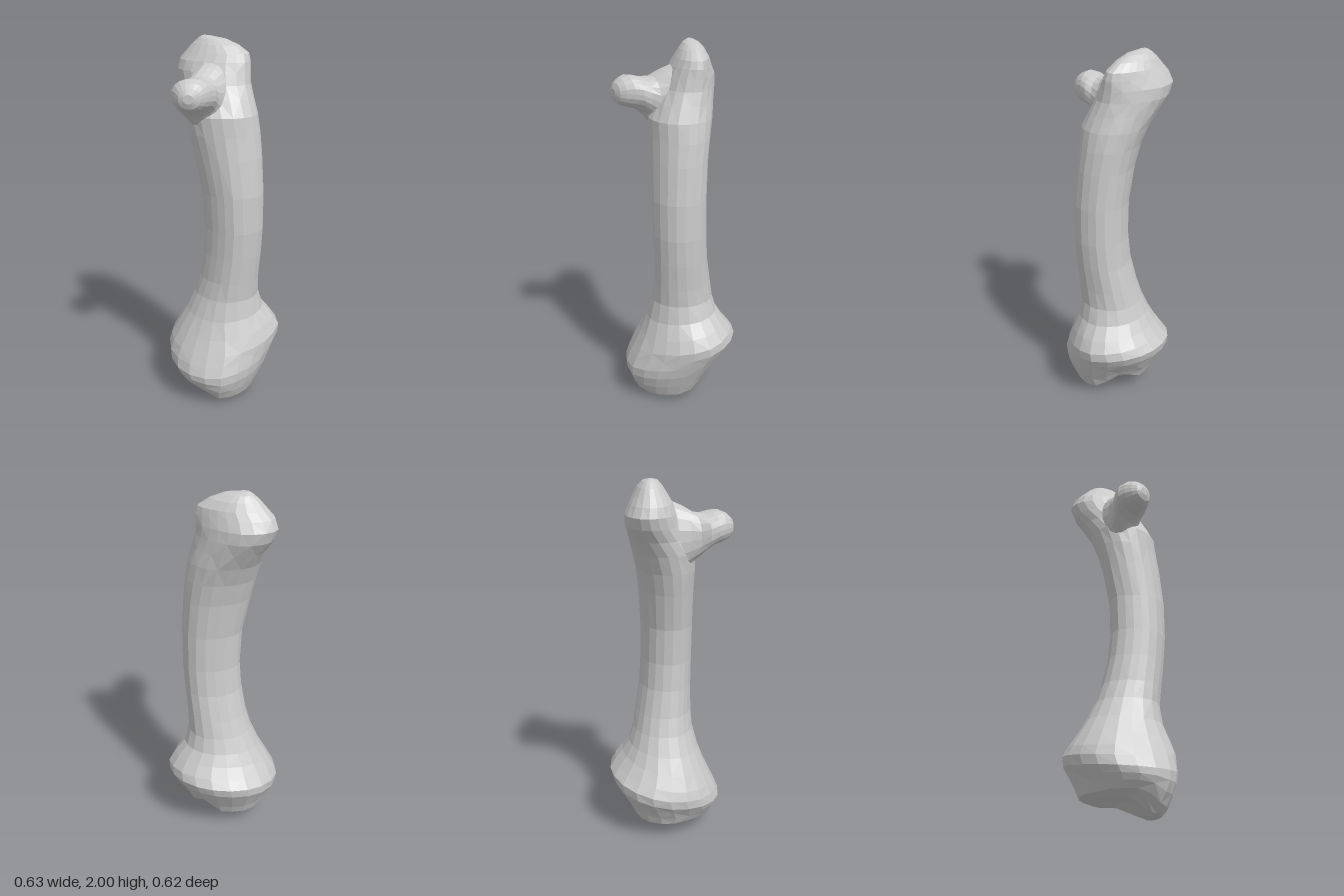
import * as THREE from 'three';

const SIDES = 20;
const material = new THREE.MeshStandardMaterial({ color: 0xcccccc, flatShading: true });
const { smoothstep, lerp } = THREE.MathUtils;

// Joins closed rings of points into a skin and closes both ends.
function loft(name, rings) {
  const pos = rings.flat().flatMap((p) => [p.x, p.y, p.z]);
  const index = [];
  const n = rings.length;
  for (let i = 0; i < n - 1; i++) {
    for (let j = 0; j < SIDES; j++) {
      const k = (j + 1) % SIDES;
      const a = i * SIDES + j, b = i * SIDES + k, c = a + SIDES, d = b + SIDES;
      if ((i + j) % 2) index.push(a, c, b, b, c, d);
      else index.push(a, d, b, a, c, d);
    }
  }
  for (const r of [0, n - 1]) {
    const mid = new THREE.Vector3();
    rings[r].forEach((p) => mid.addScaledVector(p, 1 / SIDES));
    const m = pos.length / 3;
    pos.push(mid.x, mid.y, mid.z);
    for (let j = 0; j < SIDES; j++) {
      const a = r * SIDES + j, b = r * SIDES + ((j + 1) % SIDES);
      if (r === 0) index.push(m, a, b);
      else index.push(m, b, a);
    }
  }
  const geo = new THREE.BufferGeometry();
  geo.setAttribute('position', new THREE.Float32BufferAttribute(pos, 3));
  geo.setIndex(index);
  geo.computeVertexNormals();
  const mesh = new THREE.Mesh(geo, material);
  mesh.name = name;
  return mesh;
}

// Oval between two limits on each axis, with each diagonal scaled on its own.
function oval(u0, u1, v0, v1, corners, place) {
  return Array.from({ length: SIDES }, (_, j) => {
    const t = (j / SIDES) * Math.PI * 2;
    const corner = corners[Math.floor((j * 4) / SIDES)];
    const s = lerp(1, corner, Math.abs(Math.sin(2 * t)));
    return place((u0 + u1) / 2 + ((u1 - u0) / 2) * s * Math.cos(t), (v0 + v1) / 2 + ((v1 - v0) / 2) * s * Math.sin(t));
  });
}

// Corner scales by height: y, front left, front right, back right, back left
const cornerKeys = [
  [0, 0.97, 1.03, 1.1, 1.0],
  [0.15, 0.92, 1.03, 1.06, 1.0],
  [0.3, 0.9, 1.01, 1.02, 1.0],
  [0.45, 0.96, 0.97, 1.02, 1.0],
  [0.7, 1.02, 0.88, 1.02, 1.07],
  [1.3, 1.02, 0.88, 1.02, 1.07],
  [1.6, 1.02, 1.0, 1.03, 1.02],
  [1.85, 1.03, 1.0, 1.04, 0.84],
  [2.01, 1.03, 1.0, 1.04, 0.9],
];

function cornersAt(y) {
  const i = cornerKeys.findIndex((k) => k[0] > y);
  const [lo, hi] = [cornerKeys[i - 1], cornerKeys[i]];
  const t = (y - lo[0]) / (hi[0] - lo[0]);
  return [1, 2, 3, 4].map((c) => lerp(lo[c], hi[c], t));
}

// Underside height: low lobe at front left, raised lobe at back right, groove at back left.
function floorHeight(x, z) {
  const back = 1 - smoothstep(z, -0.05, 0.08);
  const right = 1 - smoothstep(x, -0.14, -0.01);
  const fade = smoothstep(x - z, 0.0, 0.2);
  const groove = 0.07 * fade * Math.exp(-(((x + z) / 0.08) ** 2));
  return 0.07 * Math.max(back, right) + groove;
}

// Shaft with both swollen ends: y, x min, x max, z min, z max
const shaftRows = [
  [0.0, 0.0, 0.07, 0.1, 0.19],
  [0.004, -0.1, 0.11, -0.02, 0.21],
  [0.012, -0.19, 0.145, -0.14, 0.23],
  [0.04, -0.235, 0.175, -0.19, 0.262],
  [0.11, -0.258, 0.21, -0.218, 0.292],
  [0.19, -0.285, 0.255, -0.265, 0.31],
  [0.25, -0.31, 0.285, -0.298, 0.312],
  [0.3, -0.316, 0.312, -0.308, 0.292],
  [0.35, -0.3, 0.314, -0.272, 0.27],
  [0.42, -0.26, 0.275, -0.228, 0.235],
  [0.5, -0.21, 0.22, -0.192, 0.2],
  [0.6, -0.163, 0.193, -0.16, 0.178],
  [0.7, -0.135, 0.193, -0.135, 0.179],
  [0.85, -0.112, 0.205, -0.103, 0.185],
  [1.0, -0.103, 0.213, -0.09, 0.192],
  [1.2, -0.115, 0.213, -0.09, 0.192],
  [1.4, -0.155, 0.203, -0.11, 0.178],
  [1.52, -0.18, 0.193, -0.135, 0.168],
  [1.62, -0.198, 0.178, -0.17, 0.162],
  [1.7, -0.21, 0.157, -0.205, 0.115],
  [1.77, -0.235, 0.142, -0.235, 0.068],
  [1.83, -0.25, 0.14, -0.242, 0.042],
  [1.88, -0.235, 0.139, -0.215, 0.02],
  [1.92, -0.2, 0.13, -0.19, 0.0],
  [1.96, -0.165, 0.075, -0.17, -0.03],
  [1.987, -0.135, 0.01, -0.15, -0.06],
  [2.0, -0.115, -0.07, -0.13, -0.1],
];

// Neck and head: z, x min, x max, y min, y max
const headRows = [
  [-0.1, -0.15, 0.1, 1.47, 1.86],
  [0.0, -0.19, 0.09, 1.49, 1.885],
  [0.06, -0.2, 0.035, 1.53, 1.858],
  [0.11, -0.22, 0.0, 1.58, 1.825],
  [0.15, -0.25, -0.025, 1.63, 1.82],
  [0.19, -0.264, -0.035, 1.66, 1.83],
  [0.23, -0.255, -0.06, 1.668, 1.835],
  [0.265, -0.238, -0.085, 1.68, 1.82],
  [0.29, -0.22, -0.11, 1.697, 1.798],
  [0.302, -0.195, -0.145, 1.725, 1.77],
];

export function createModel() {
  const group = new THREE.Group();
  group.name = 'bone';

  group.add(loft('shaft', shaftRows.map(([y, x0, x1, z0, z1]) => {
    const skew = 0.25 * smoothstep(y, 1.55, 1.83);
    // The widest band of the lower end sits lower at the front and right.
    const tilt = smoothstep(y, 0.02, 0.25) * (1 - smoothstep(y, 0.35, 0.65));
    const low = Math.max(0, 1 - y / 0.25);
    return oval(x0, x1, z0, z1, cornersAt(y), (x, z) => new THREE.Vector3(
      x,
      y + low * floorHeight(x, z) + tilt * (0.09 * x - 0.16 * z),
      z + skew * (x - (x0 + x1) / 2),
    ));
  })));

  group.add(loft('neckAndHead', headRows.map(([z, x0, x1, y0, y1]) =>
    oval(x0, x1, y1, y0, [1.04, 1.04, 1.04, 1.04], (x, y) => new THREE.Vector3(x, y, z)))));

  return group;
}
